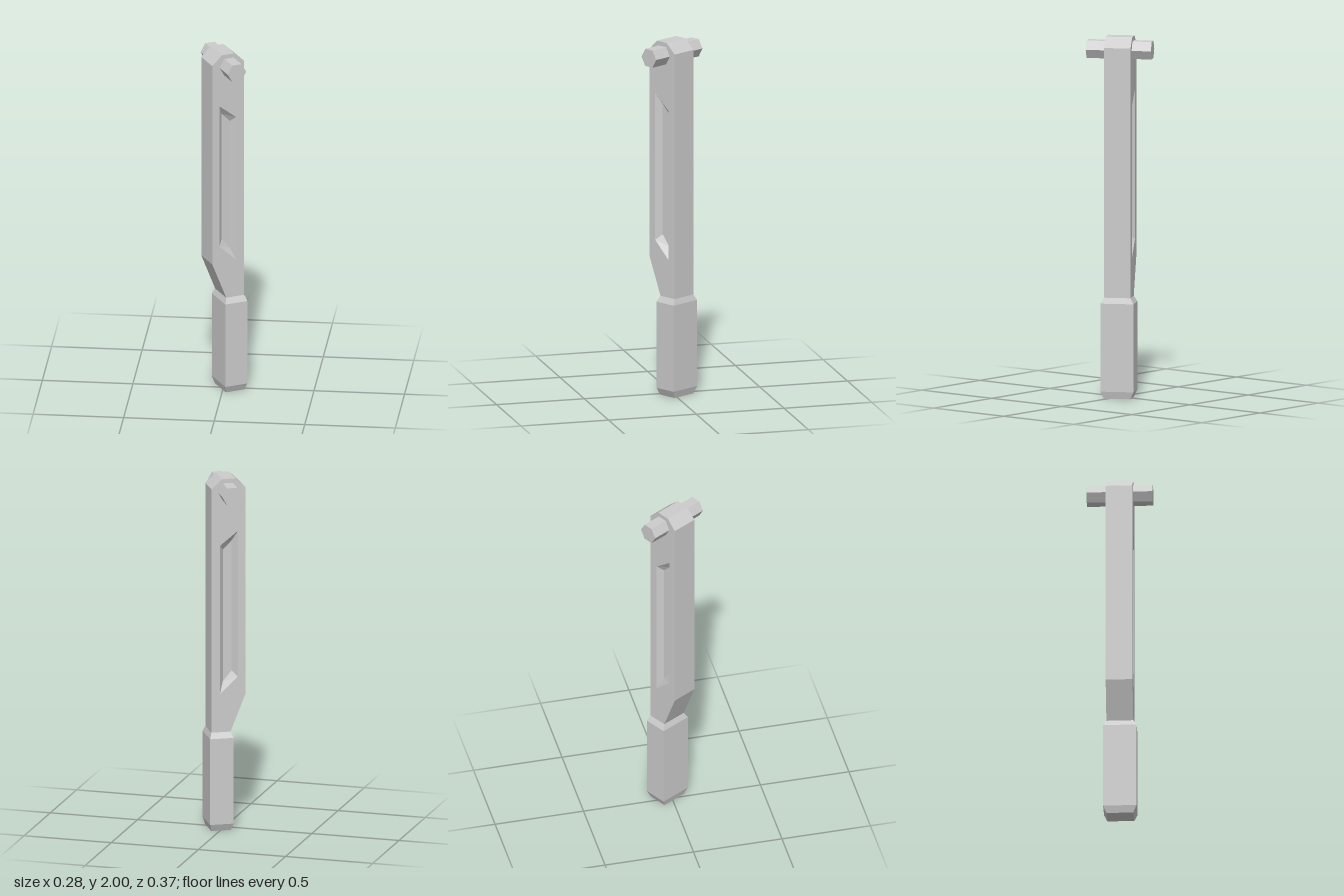
import * as THREE from 'three';

const material = new THREE.MeshStandardMaterial({ color: 0xcccccc, flatShading: true });

// Quads joining two matching rings of points
function loft(a, b) {
  return a.flatMap((p, i) => {
    const j = (i + 1) % a.length;
    return [p, a[j], b[j], p, b[j], b[i]];
  });
}

// Flat face at depth z, optionally with a hole
function face(outline, z, hole = []) {
  const v = (pts) => pts.map(([x, y]) => new THREE.Vector2(x, y));
  const all = [...outline, ...hole];
  const tris = THREE.ShapeUtils.triangulateShape(v(outline), hole.length ? [v(hole)] : []);
  return tris.flatMap(([a, b, c]) => {
    const [p, q, r] = [all[a], all[b], all[c]];
    const area = (q[0] - p[0]) * (r[1] - p[1]) - (q[1] - p[1]) * (r[0] - p[0]);
    return (area > 0 ? [p, q, r] : [p, r, q]).map(([x, y]) => [x, y, z]);
  });
}

// Triangles plus their mirror image across z = 0
function mirrored(tris) {
  return [...tris, ...tris.map(([x, y, z]) => [x, y, -z]).reverse()];
}

function mesh(name, tris) {
  const geometry = new THREE.BufferGeometry();
  geometry.setAttribute('position', new THREE.Float32BufferAttribute(tris.flat(), 3));
  geometry.computeVertexNormals();
  const m = new THREE.Mesh(geometry, material);
  m.name = name;
  return m;
}

export function createModel() {
  const group = new THREE.Group();
  group.name = 'leverBar';
  const at = (pts, z) => pts.map(([x, y]) => [x, y, z]);
  const half = 0.074, floor = 0.042;

  // Bar: chamfered top, tapering into the neck, outline anticlockwise
  const profile = [
    [-0.016, 0.56], [0.092, 0.56], [0.092, 1.945], [0.032, 2],
    [-0.043, 2], [-0.1, 1.945], [-0.1, 0.77],
  ];
  // Slanted recess rim and its floor
  const rim = [[-0.057, 0.87], [0.044, 0.775], [0.044, 1.62], [-0.057, 1.7]];
  const inner = [[-0.03, 0.9], [0.02, 0.84], [0.02, 1.59], [-0.03, 1.64]];

  const sides = loft(at(profile, -half), at(profile, half)).slice(6); // open at the neck
  group.add(mesh('bar', [...sides, ...mirrored(face(profile, half, rim))]));
  group.add(mesh('sideRecesses', mirrored([
    ...loft(at(rim, half), at(inner, floor)),
    ...face(inner, floor),
  ])));

  // Grip: wider block, bevelled at both ends
  const ring = (y, l, r, w) => [[l, y, w], [r, y, w], [r, y, -w], [l, y, -w]];
  const rings = [
    ring(0, -0.018, 0.092, half),
    ring(0.04, -0.029, 0.103, 0.092),
    ring(0.528, -0.029, 0.103, 0.092),
    ring(0.56, -0.016, 0.092, half),
  ];
  const [a, b, c, d] = rings[0];
  const grip = [a, d, c, a, c, b];
  for (let i = 0; i < 3; i++) grip.push(...loft(rings[i], rings[i + 1]));
  group.add(mesh('grip', grip));

  // Hexagonal pin through the top, corners pointing sideways
  const pinGeometry = new THREE.CylinderGeometry(0.056, 0.056, 0.363, 6);
  pinGeometry.rotateY(Math.PI / 6).rotateX(Math.PI / 2);
  const pin = new THREE.Mesh(pinGeometry, material);
  pin.name = 'pin';
  pin.position.y = 1.927;
  group.add(pin);

  group.rotation.y = Math.PI / 6;
  const model = new THREE.Group();
  model.add(group);
  return model;
}
